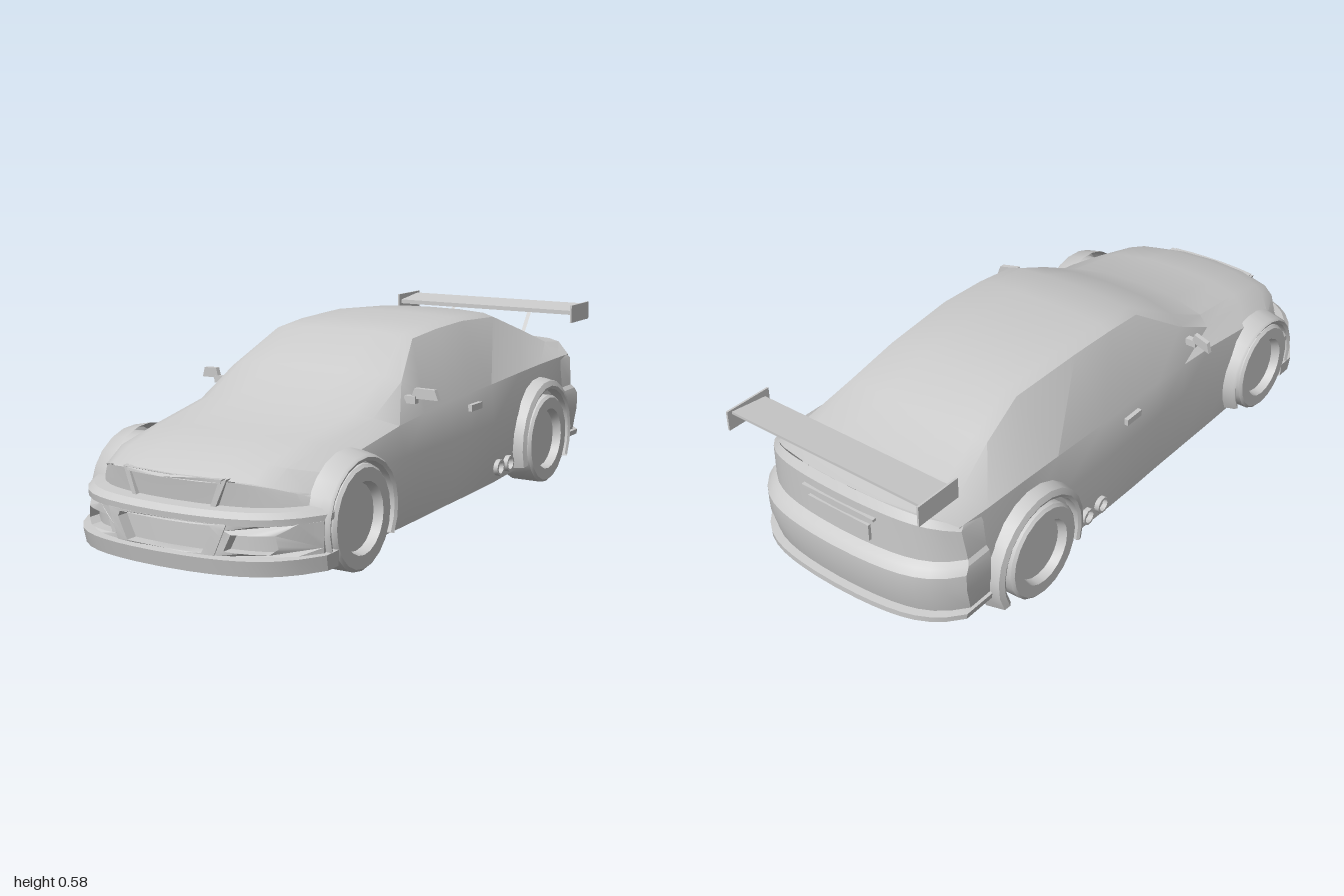
import * as THREE from 'three';
import { toCreasedNormals } from 'three/addons/utils/BufferGeometryUtils.js';

const material = new THREE.MeshStandardMaterial({ color: 0xcccccc, side: THREE.DoubleSide });

// Plan curve of the car's ends: flat in the middle, sweeping back at the corners
const sweep = (u) => 0.4 * u * u + 0.6 * Math.pow(u, 6);

// Skin a grid of [x, y, z] rows
function grid(rows, crease = 0.45) {
  const n = rows[0].length;
  const index = [];
  for (let r = 0; r < rows.length - 1; r++) {
    for (let c = 0; c < n - 1; c++) {
      const a = r * n + c;
      index.push(a, a + 1, a + n, a + 1, a + n + 1, a + n);
    }
  }
  const geo = new THREE.BufferGeometry();
  geo.setAttribute('position', new THREE.Float32BufferAttribute(rows.flat(2), 3));
  geo.setIndex(index);
  return toCreasedNormals(geo, crease);
}

// Cross-section of the main body, from floor centre over the roof and back
function bodySection([z, topY, topX, edgeY, beltX, beltY, sillY, bend]) {
  const half = [
    [0, topY],
    [topX * 0.45, topY - (topY - edgeY) * 0.08],
    [topX * 0.84, topY - (topY - edgeY) * 0.4],
    [topX, edgeY],
    [beltX, beltY],
    [beltX + 0.012, Math.min(0.25, beltY - 0.03)],
    [beltX + 0.008, sillY],
    [0, sillY],
  ].map(([x, y]) => [x, y, z - bend * sweep(x / (beltX + 0.012))]);
  const right = half.slice(1).reverse().map(([x, y, zz]) => [-x, y, zz]);
  return [...right, ...half];
}

// Wrap-around end panel; rows are [y, centre z, half width, sweep depth, corner drop]
function endShell(rows, zEnd) {
  const dir = Math.sign(zEnd);
  return grid(rows.map(([y, z, hw, d, drop = 0]) => {
    const pts = [];
    for (let i = -8; i <= 8; i++) {
      const u = Math.sign(i) * Math.pow(Math.abs(i) / 8, 0.75);
      pts.push([hw * u, y - drop * sweep(u), z - dir * d * sweep(u)]);
    }
    return [[-hw, y - drop, zEnd], ...pts, [hw, y - drop, zEnd]];
  }));
}

// Split polygon edges so that the extruded panel can bend
function outline(pts, s) {
  const out = [];
  pts.forEach(([x, y], i) => {
    const [x2, y2] = pts[(i + 1) % pts.length];
    for (let k = 0; k < 5; k++) out.push(new THREE.Vector2(s * (x + (x2 - x) * k / 5), y + (y2 - y) * k / 5));
  });
  return out;
}

// Panel with an opening, curved along the bumper
function bentFrame(outer, hole, z, depth, s = 1) {
  const shape = new THREE.Shape(outline(outer, s));
  if (hole) shape.holes.push(new THREE.Path(outline(hole, s)));
  const geo = new THREE.ExtrudeGeometry(shape, { depth, bevelEnabled: false });
  const p = geo.attributes.position;
  for (let i = 0; i < p.count; i++) p.setZ(i, p.getZ(i) + z - 0.19 * sweep(p.getX(i) / 0.39));
  return toCreasedNormals(geo, 0.5);
}

// Flared wheel arch swept around the wheel
function archGeometry(s, zc, ro, ri, stretch) {
  const rows = [];
  for (let i = 0; i <= 14; i++) {
    const t = -0.5 + (Math.PI + 0.85) * i / 14;
    const at = (x, r) => [s * x, 0.145 + r * Math.sin(t), zc - stretch * r * Math.cos(t)];
    const section = [at(0.33, ro + 0.012), at(0.388, ro), at(0.395, ri + 0.01), at(0.39, ri), at(0.33, ri)];
    rows.push(s > 0 ? section.reverse() : section);
  }
  return grid(rows, 0.6);
}

export function createModel() {
  const car = new THREE.Group();
  car.name = 'car';
  const add = (name, geo, x = 0, y = 0, z = 0) => {
    const mesh = new THREE.Mesh(geo, material);
    mesh.name = name;
    mesh.position.set(x, y, z);
    car.add(mesh);
    return mesh;
  };

  // Main body: hood, windshield, roof, rear window, trunk
  add('body', grid([
    [0.935, 0.28, 0.27, 0.262, 0.335, 0.23, 0.06, 0.17],
    [0.86, 0.315, 0.27, 0.3, 0.34, 0.28, 0.05, 0.16],
    [0.7, 0.352, 0.28, 0.333, 0.345, 0.31, 0.05, 0.15],
    [0.48, 0.39, 0.295, 0.367, 0.345, 0.34, 0.05, 0.15],
    [0.3, 0.475, 0.293, 0.445, 0.345, 0.352, 0.052, 0.11],
    [0.1, 0.56, 0.238, 0.545, 0.346, 0.362, 0.055, 0.05],
    [-0.05, 0.573, 0.242, 0.558, 0.348, 0.367, 0.057, 0.02],
    [-0.22, 0.58, 0.242, 0.563, 0.348, 0.372, 0.06, 0],
    [-0.48, 0.565, 0.228, 0.548, 0.346, 0.38, 0.07, -0.05],
    [-0.64, 0.508, 0.25, 0.492, 0.345, 0.385, 0.08, -0.06],
    [-0.8, 0.447, 0.28, 0.432, 0.343, 0.387, 0.09, -0.07],
    [-0.93, 0.43, 0.28, 0.42, 0.335, 0.385, 0.1, -0.1],
  ].map(bodySection)));

  // Nose and front bumper, bottom to top
  add('frontBumper', endShell([
    [0.047, 0.74, 0.38, 0], [0.047, 0.99, 0.392, 0.19], [0.09, 1.0, 0.394, 0.19],
    [0.093, 0.975, 0.385, 0.19], [0.095, 0.945, 0.378, 0.185], [0.172, 0.945, 0.378, 0.185],
    [0.174, 0.978, 0.388, 0.19], [0.192, 0.98, 0.388, 0.19], [0.206, 0.962, 0.38, 0.19],
    [0.21, 0.925, 0.36, 0.17], [0.262, 0.932, 0.345, 0.17, 0.03], [0.28, 0.935, 0.338, 0.17, 0.05],
  ], 0.75));

  // Intake surrounds
  add('centreIntake', bentFrame(
    [[-0.155, 0.09], [0.155, 0.09], [0.19, 0.176], [-0.19, 0.176]],
    [[-0.12, 0.096], [0.12, 0.096], [0.152, 0.155], [0.145, 0.17], [-0.145, 0.17], [-0.152, 0.155]], 0.935, 0.045));
  for (const s of [1, -1]) {
    add('sideIntake', bentFrame(
      [[0.155, 0.09], [0.382, 0.09], [0.382, 0.176], [0.19, 0.176]],
      [[0.18, 0.105], [0.29, 0.1], [0.309, 0.115], [0.303, 0.15], [0.2, 0.15]], 0.935, 0.042, s));
    add('grilleSide', bentFrame([[0.12, 0.207], [0.135, 0.207], [0.167, 0.282], [0.145, 0.275]], null, 0.92, 0.018, s));
  }
  add('grilleTop', bentFrame([[-0.15, 0.27], [0.15, 0.27], [0.155, 0.281], [-0.155, 0.281]], null, 0.92, 0.02));

  // Tail and rear bumper, top to bottom
  add('rearBumper', endShell([
    [0.43, -0.93, 0.337, 0.1, 0.045], [0.405, -0.945, 0.342, 0.1, 0.03], [0.282, -0.945, 0.352, 0.11],
    [0.27, -0.965, 0.362, 0.12], [0.25, -0.98, 0.366, 0.12], [0.2, -0.98, 0.366, 0.12],
    [0.125, -0.962, 0.36, 0.12], [0.122, -0.985, 0.368, 0.12], [0.105, -0.985, 0.366, 0.12],
    [0.1, -0.76, 0.34, 0],
  ], -0.76));
  add('plateRecess', new THREE.BoxGeometry(0.22, 0.05, 0.012), 0, 0.325, -0.944);
  add('trunkHandle', new THREE.BoxGeometry(0.26, 0.008, 0.014), 0, 0.375, -0.944);

  // Wheels with dished rims
  const profile = [[0, 0], [0.135, 0], [0.145, 0.008], [0.145, 0.107], [0.137, 0.115], [0.1, 0.115], [0.093, 0.088], [0, 0.088]]
    .map(([r, h]) => new THREE.Vector2(r, h));
  for (const s of [1, -1]) {
    for (const [end, z] of [['front', 0.625], ['rear', -0.56]]) {
      const wheel = toCreasedNormals(new THREE.LatheGeometry(profile, 20), 0.5);
      add(end + 'Wheel', wheel.rotateZ(-s * Math.PI / 2), s * 0.28, 0.145, z);
    }
    add('frontArch', archGeometry(s, 0.62, 0.168, 0.152, 1.08));
    add('rearArch', archGeometry(s, -0.565, 0.192, 0.165, 1));

    // Side mirror, swept backwards
    const mirrorShape = new THREE.Shape([[0.335, 0.405], [0.41, 0.4], [0.4, 0.43], [0.345, 0.434]]
      .map(([x, y]) => new THREE.Vector2(s * x, y)));
    const mirror = new THREE.ExtrudeGeometry(mirrorShape, { depth: 0.016, bevelEnabled: false });
    const p = mirror.attributes.position;
    for (let i = 0; i < p.count; i++) p.setZ(i, p.getZ(i) + 0.255 - 0.3 * (Math.abs(p.getX(i)) - 0.335));
    mirror.computeVertexNormals();
    add('mirror', mirror);
    add('mirrorStem', new THREE.BoxGeometry(0.035, 0.022, 0.02), s * 0.332, 0.4, 0.262);

    // Door handle and side exhausts
    add('doorHandle', new THREE.BoxGeometry(0.014, 0.02, 0.07), s * 0.358, 0.325, -0.09);
    for (const z of [-0.25, -0.32]) {
      const pipe = new THREE.LatheGeometry([[0.026, 0], [0.026, 0.03], [0.019, 0.03], [0.019, 0.012], [0, 0.012]]
        .map(([r, h]) => new THREE.Vector2(r, h)), 10);
      add('exhaust', toCreasedNormals(pipe, 0.7).rotateZ(-s * Math.PI / 2), s * 0.342, 0.105, z);
    }

    // Wing end plates and struts
    add('wingEndPlate', new THREE.BoxGeometry(0.006, 0.06, 0.15), s * 0.339, 0.522, -0.925);
    const strut = new THREE.BoxGeometry(0.014, 0.1, 0.035);
    strut.applyMatrix4(new THREE.Matrix4().makeShear(0, 0, 0, -0.4, 0, 0));
    const q = strut.attributes.position;
    for (let i = 0; i < q.count; i++) q.setZ(i, Math.sign(q.getZ(i)) * 0.0175 - 0.4 * q.getY(i));
    strut.computeVertexNormals();
    add('wingStrut', strut, s * 0.15, 0.475, -0.895);
  }

  // Wing blade with a thinner trailing edge
  const blade = new THREE.Shape([[0.865, 0.518], [0.9, 0.515], [0.985, 0.538], [0.985, 0.546], [0.9, 0.536], [0.865, 0.532]]
    .map(([z, y]) => new THREE.Vector2(z, y)));
  add('wing', new THREE.ExtrudeGeometry(blade, { depth: 0.676, bevelEnabled: false })
    .rotateY(Math.PI / 2).translate(-0.338, 0, 0).rotateY(0), 0, 0, 0);
  const w = car.children[car.children.length - 1].geometry;
  w.computeBoundingBox();
  const c = w.boundingBox.getCenter(new THREE.Vector3());
  w.translate(-c.x, 0, -0.925 - c.z);
  return car;
}
